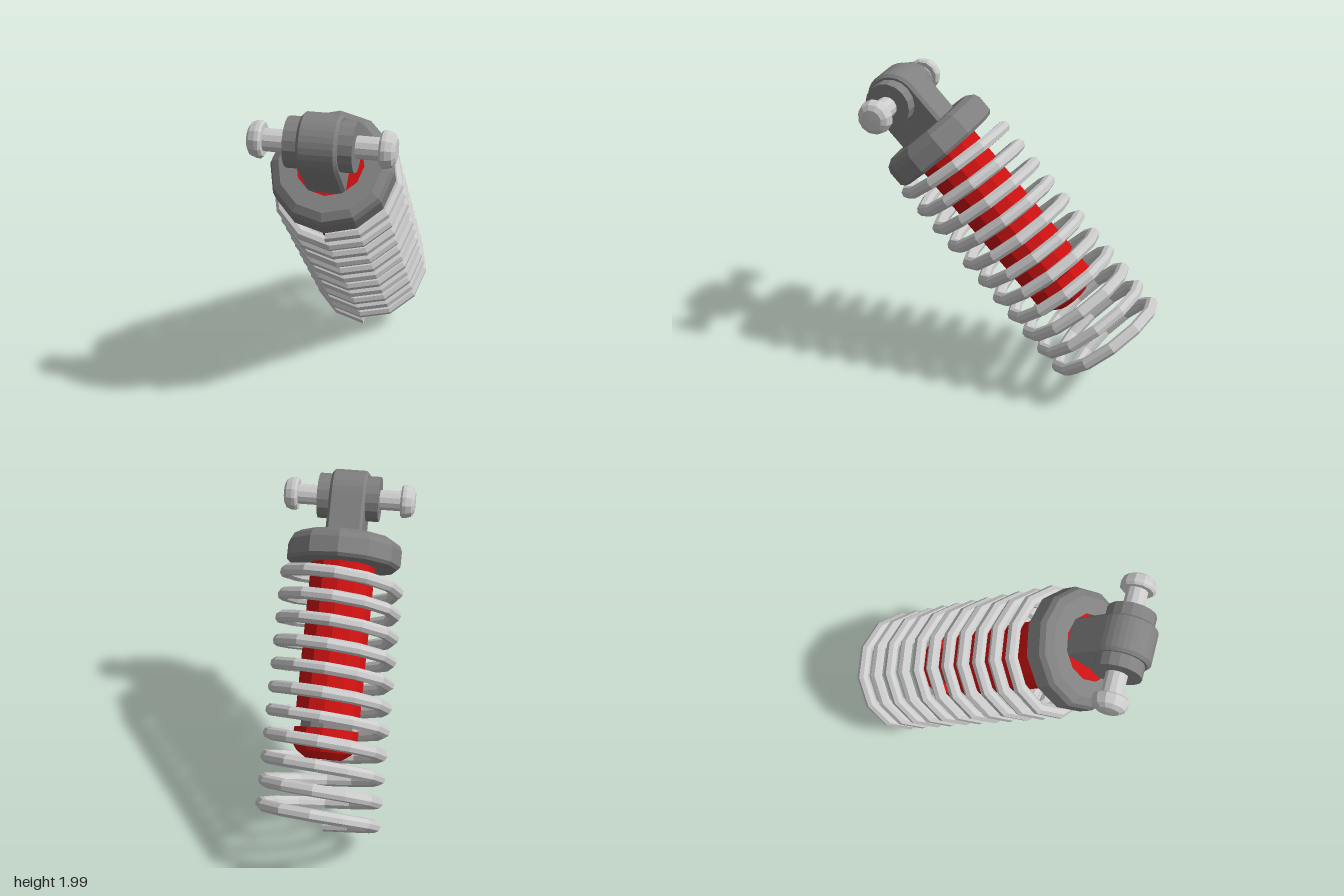
import * as THREE from 'three';

const material = (color) => new THREE.MeshStandardMaterial({ color, flatShading: true });
const light = material(0xcccccc);
const dark = material(0x808080);
const red = material(0xcc1111);
const SIDES = 12;

function part(parent, name, geometry, mat) {
  const mesh = new THREE.Mesh(geometry, mat);
  mesh.name = name;
  parent.add(mesh);
  return mesh;
}

// Profile points are [radius, height], bottom to top
const lathe = (points) =>
  new THREE.LatheGeometry(points.map(([r, y]) => new THREE.Vector2(r, y)), SIDES);

class Helix extends THREE.Curve {
  constructor(radius, bottom, top, turns) {
    super();
    Object.assign(this, { radius, bottom, top, turns });
    this.arcLengthDivisions = turns * 48;
  }
  getPoint(t, target = new THREE.Vector3()) {
    const a = t * this.turns * Math.PI * 2;
    return target.set(-this.radius * Math.sin(a),
      THREE.MathUtils.lerp(this.bottom, this.top, t), this.radius * Math.cos(a));
  }
}

export function createModel() {
  const model = new THREE.Group();
  model.name = 'shockAbsorber';

  // The whole damper hangs from its pin at the origin and leans back
  const damper = new THREE.Group();
  damper.name = 'damper';
  damper.position.set(0, 1.825, 0.75);
  damper.rotation.x = THREE.MathUtils.degToRad(43.1);
  model.add(damper);

  // Mounting lug: slab with a rounded eye
  const bevel = 0.018;
  const r = 0.175 - bevel;
  const outline = new THREE.Shape();
  outline.moveTo(-r, -0.33);
  outline.lineTo(r, -0.33);
  outline.lineTo(r, 0);
  outline.absarc(0, 0, r, 0, Math.PI, false);
  outline.closePath();
  const lug = new THREE.ExtrudeGeometry(outline, {
    depth: 0.23 - 2 * bevel, curveSegments: 8,
    bevelEnabled: true, bevelSize: bevel, bevelThickness: bevel, bevelSegments: 1,
  });
  lug.translate(0, 0, -0.115 + bevel).rotateY(Math.PI / 2);
  part(damper, 'mountingLug', lug, dark);

  // Boss and pin running across the eye
  part(damper, 'eyeBoss', new THREE.CylinderGeometry(0.145, 0.145, 0.39, 16).rotateZ(Math.PI / 2), dark);
  part(damper, 'pin', new THREE.CylinderGeometry(0.065, 0.065, 0.68, SIDES).rotateZ(Math.PI / 2), light);

  // Rounded pin heads
  for (const side of [1, -1]) {
    const head = lathe([[0, 0.33], [0.095, 0.33], [0.107, 0.343], [0.107, 0.365],
      [0.095, 0.4], [0.065, 0.418], [0, 0.42]]);
    part(damper, side > 0 ? 'leftPinHead' : 'rightPinHead', head.rotateZ(-side * Math.PI / 2), light);
  }

  // Collar ring the spring seats against
  part(damper, 'springCollar', lathe([[0.2, -0.445], [0.345, -0.445], [0.365, -0.425], [0.365, -0.325],
    [0.35, -0.29], [0.305, -0.262], [0.2, -0.262], [0.2, -0.445]]), dark);

  // Cylinder body, piston rod and lower cup
  part(damper, 'cylinderBody', lathe([[0, -1.42], [0.205, -1.42], [0.205, -0.275], [0, -0.275]]), red);
  part(damper, 'pistonRod', lathe([[0, -1.54], [0.165, -1.54], [0.165, -1.4], [0, -1.4]]), dark);
  part(damper, 'lowerCup', lathe([[0, -1.675], [0.115, -1.675], [0.175, -1.635], [0.205, -1.59],
    [0.205, -1.49], [0, -1.49]]), red);

  // Coil spring with closed wire ends
  const turns = 11, coil = 0.36, wire = 0.04, bottom = -2.095, top = -0.475;
  const spring = new THREE.Group();
  spring.name = 'spring';
  damper.add(spring);
  part(spring, 'coil', new THREE.TubeGeometry(
    new Helix(coil, bottom, top, turns), turns * SIDES, wire, 8), light);
  for (const [name, y, side] of [['lowerWireEnd', bottom, 1], ['upperWireEnd', top, -1]]) {
    const end = part(spring, name, new THREE.CircleGeometry(wire, 8), light);
    end.position.set(0, y, coil);
    end.rotation.y = side * Math.PI / 2;
  }

  return model;
}
